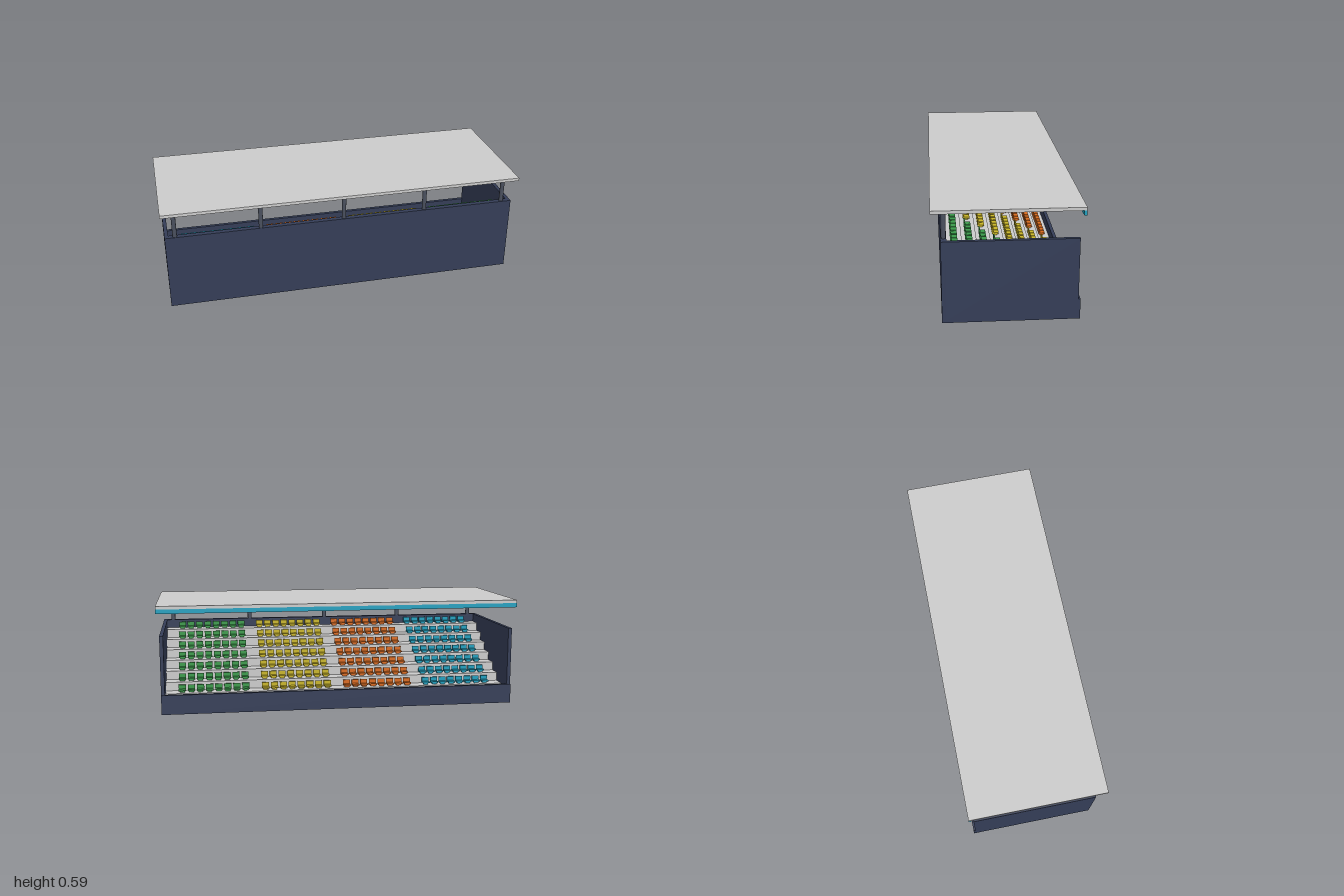
import * as THREE from 'three';
import { mergeGeometries } from 'three/addons/utils/BufferGeometryUtils.js';

const ROWS = 8, ROW_DEPTH = 0.08, ROW_RISE = 0.048;
const FIRST_Z = -0.34, FIRST_Y = 0.045, INNER_X = 0.966;
const BLOCK_PITCH = 0.465, SEATS_PER_BLOCK = 8, SEAT_PITCH = 0.0505;

const material = (color) => new THREE.MeshStandardMaterial({ color });

// Box given by its minimum and maximum corners
function boxGeometry(x0, x1, y0, y1, z0, z1) {
  return new THREE.BoxGeometry(x1 - x0, y1 - y0, z1 - z0)
    .translate((x0 + x1) / 2, (y0 + y1) / 2, (z0 + z1) / 2);
}

// Stepped terrace, its side profile extruded across the width
function terraceGeometry() {
  const shape = new THREE.Shape();
  shape.moveTo(FIRST_Z, 0);
  for (let i = 0; i < ROWS; i++) {
    const z = FIRST_Z + i * ROW_DEPTH, y = FIRST_Y + i * ROW_RISE;
    shape.lineTo(z, y);
    shape.lineTo(z + ROW_DEPTH, y);
  }
  shape.lineTo(FIRST_Z + ROWS * ROW_DEPTH, 0);
  return new THREE.ExtrudeGeometry(shape, { depth: 2 * INNER_X, bevelEnabled: false })
    .rotateY(-Math.PI / 2)
    .translate(INNER_X, 0, 0);
}

// One seat facing -z: pedestal, pan and backrest
function seatGeometry() {
  const w = 0.02;
  return mergeGeometries([
    boxGeometry(-0.013, 0.013, 0, 0.009, -0.01, 0.012),
    boxGeometry(-w, w, 0.008, 0.016, -0.018, 0.018),
    boxGeometry(-w, w, 0.014, 0.038, 0.011, 0.018),
  ]);
}

// All rows of one coloured seating block
function seatBlockGeometry(centreX) {
  const seat = seatGeometry(), seats = [];
  for (let row = 0; row < ROWS; row++) {
    for (let n = 0; n < SEATS_PER_BLOCK; n++) {
      seats.push(seat.clone().translate(
        centreX + (n - (SEATS_PER_BLOCK - 1) / 2) * SEAT_PITCH,
        FIRST_Y + row * ROW_RISE,
        FIRST_Z + (row + 0.5) * ROW_DEPTH));
    }
  }
  return mergeGeometries(seats);
}

export function createModel() {
  const group = new THREE.Group();
  const add = (name, geometry, mat) => {
    const mesh = new THREE.Mesh(geometry, mat);
    mesh.name = name;
    group.add(mesh);
  };

  const grey = material(0xcccccc);
  const navy = material(0x343d57);
  const steel = material(0x4a505e);
  const teal = material(0x1d9fbe);

  // Terrace and enclosing walls
  add('terrace', terraceGeometry(), grey);
  add('rearWall', boxGeometry(-0.985, 0.985, 0, 0.43, 0.298, 0.327), navy);
  add('parapet', boxGeometry(-0.985, 0.985, 0, 0.107, -0.36, -0.34), navy);
  add('leftWall', boxGeometry(0.965, 0.985, 0, 0.43, -0.35, 0.327), navy);
  add('rightWall', boxGeometry(-0.985, -0.965, 0, 0.43, -0.35, 0.327), navy);

  // Roof with coloured edge trim
  add('roof', boxGeometry(-1, 1, 0.577, 0.594, -0.375, 0.375), grey);
  add('roofTrim', boxGeometry(-1, 1, 0.553, 0.577, -0.375, -0.36), teal);

  // Roof columns along the rear wall
  for (let i = -2; i <= 2; i++) {
    const column = new THREE.CylinderGeometry(0.012, 0.012, 0.157, 12)
      .translate(i * BLOCK_PITCH, 0.4985, 0.312);
    add('column', column, steel);
  }

  // Four seating blocks separated by aisles
  const blockMaterials = [teal, material(0xd96a1c), material(0xc9b526), material(0x3a9a4a)];
  blockMaterials.forEach((mat, i) =>
    add('seatBlock', seatBlockGeometry((i - 1.5) * BLOCK_PITCH), mat));

  return group;
}
